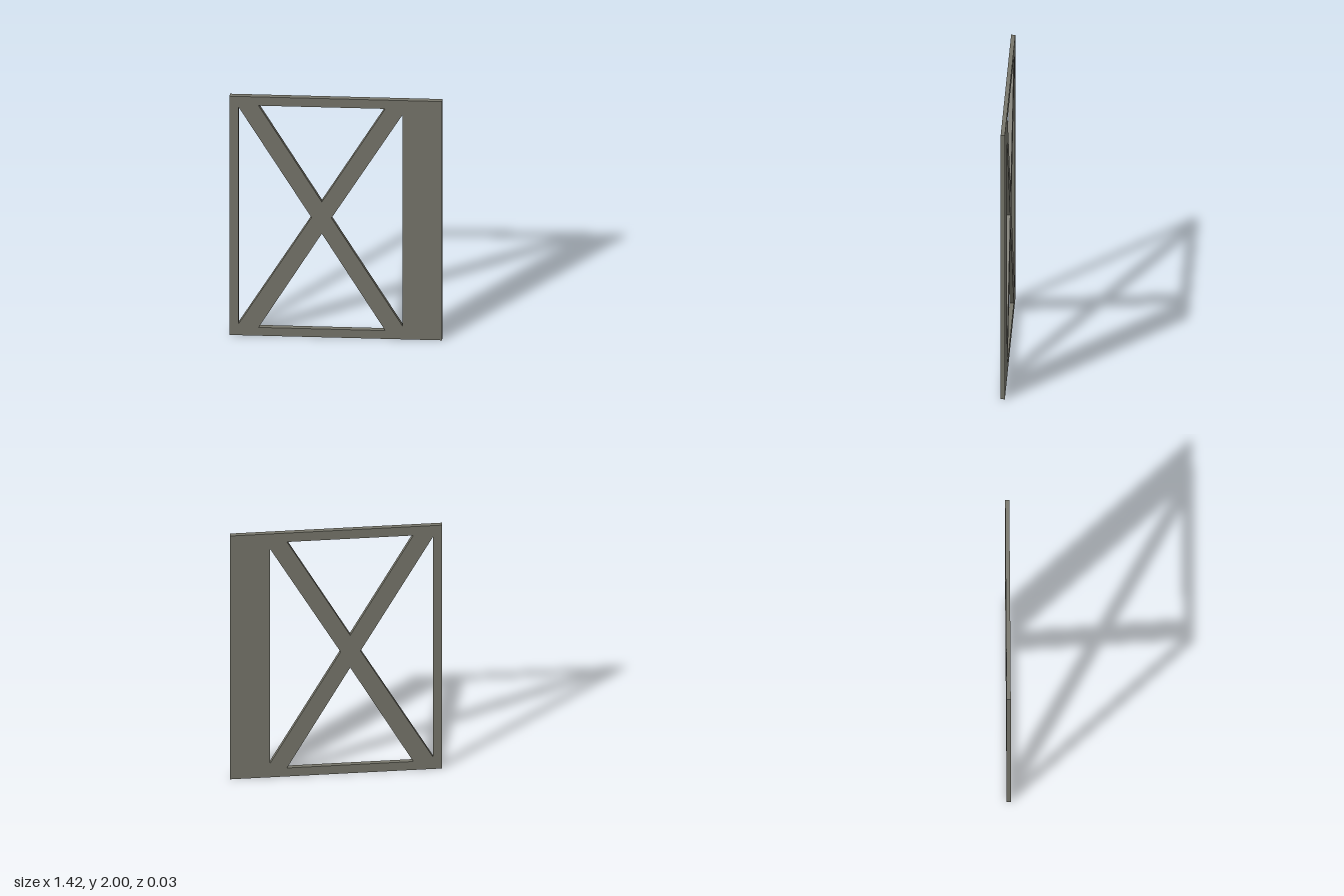
import * as THREE from 'three';

const W = 1.42, H = 2, T = 0.028;

// Closed outline from a short list of corners
const outline = (Type, corners) => new Type(corners.map(([x, y]) => new THREE.Vector2(x, y)));

export function createModel() {
  const group = new THREE.Group();
  group.name = 'crossBracedPanel';

  const paint = new THREE.MeshStandardMaterial({ color: 0x78776c });
  paint.name = 'warm grey';

  // Flat panel: narrow rails on three sides, wide stile on its left
  const panel = outline(THREE.Shape, [[-W / 2, 0], [W / 2, 0], [W / 2, H], [-W / 2, H]]);

  // Four triangular openings leave the diagonal cross brace
  const openings = [
    [[-0.65, 0.095], [-0.65, 1.91], [-0.163, 1]],
    [[0.445, 0.11], [-0.03, 1], [0.445, 1.88]],
    [[-0.517, 1.927], [0.33, 1.927], [-0.094, 1.133]],
    [[-0.517, 0.069], [-0.094, 0.868], [0.33, 0.069]],
  ];
  for (const corners of openings) panel.holes.push(outline(THREE.Path, corners));

  const geometry = new THREE.ExtrudeGeometry(panel, { depth: T, bevelEnabled: false });
  geometry.translate(0, 0, -T / 2);

  const mesh = new THREE.Mesh(geometry, paint);
  mesh.name = 'bracedFrame';
  group.add(mesh);
  return group;
}
